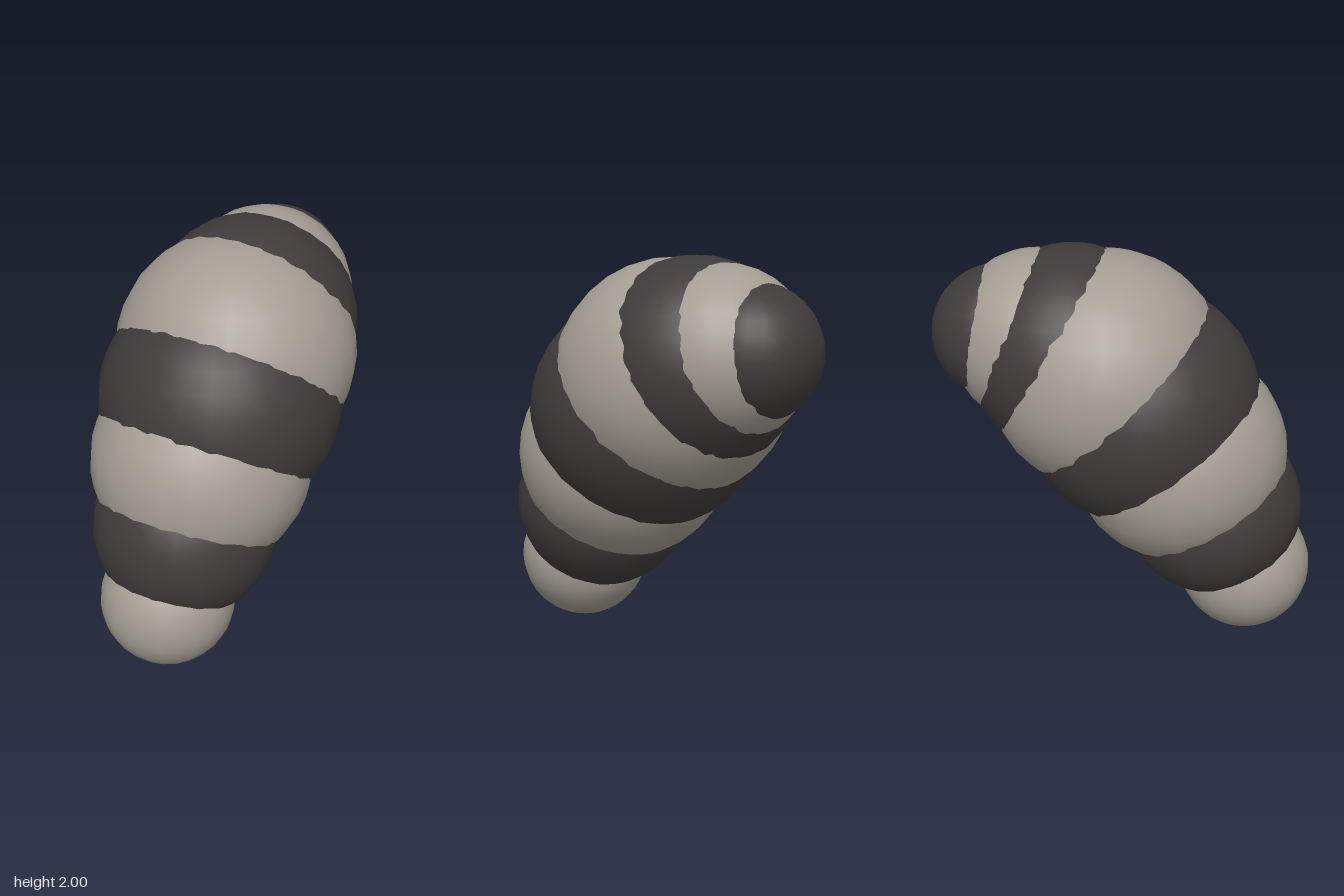
import * as THREE from 'three';

export function createModel() {
  const model = new THREE.Group();
  model.name = 'bandedBody';

  const light = new THREE.MeshStandardMaterial({ color: 0xa39d93 });
  light.name = 'warm grey';
  const dark = new THREE.MeshStandardMaterial({ color: 0x403b3b });
  dark.name = 'charcoal';

  // Overlapping balls from the lower front end to the upper back end: x, y, z, radius
  const segments = [
    [-0.095, 0.335, 0.61, 0.335],
    [-0.065, 0.67, 0.435, 0.455],
    [-0.04, 0.96, 0.26, 0.547],
    [-0.01, 1.21, 0.07, 0.6],
    [0.01, 1.385, -0.1, 0.593],
    [0.035, 1.475, -0.26, 0.525],
    [0.05, 1.54, -0.43, 0.435],
    [0.05, 1.57, -0.613, 0.332],
  ];

  segments.forEach(([x, y, z, r], i) => {
    const ball = new THREE.Mesh(new THREE.SphereGeometry(r, 24, 16), i % 2 ? dark : light);
    ball.name = (i % 2 ? 'darkSegment' : 'lightSegment') + (i + 1);
    ball.position.set(x, y, z);
    model.add(ball);
  });

  return model;
}
